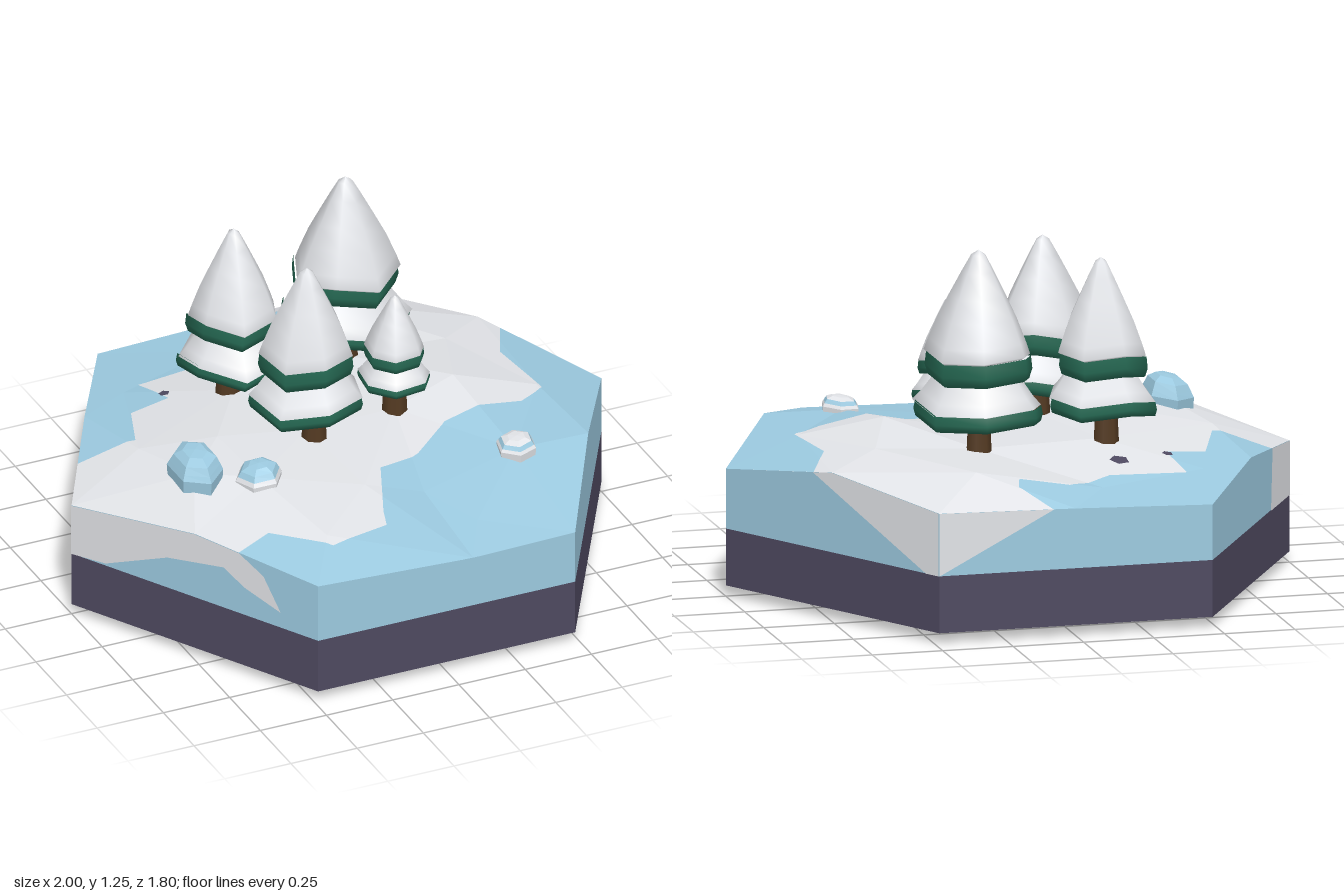
import * as THREE from 'three';
import { mergeGeometries } from 'three/addons/utils/BufferGeometryUtils.js';

const flat = (name, hex) => {
  const m = new THREE.MeshStandardMaterial({ color: hex });
  m.name = name;
  return m;
};

export function createModel() {
  const root = new THREE.Group();
  root.name = 'snowyIsland';
  const snow = flat('snow', 0xe4e6ea);
  const ice = flat('ice', 0x9ccae0);
  const rock = flat('darkRock', 0x4e4960);
  const green = flat('pineGreen', 0x266a54);
  const bark = flat('bark', 0x543a22);
  const add = (name, geo, mat, parent = root) => {
    const mesh = new THREE.Mesh(geo, mat);
    mesh.name = name;
    parent.add(mesh);
    return mesh;
  };

  // Hexagonal outline and terrain corners (x, z, height)
  const hex = [[1, 0], [.485, .9], [-.485, .9], [-1, 0], [-.485, -.9], [.485, -.9]];
  const samples = [
    [1, 0, .45], [.7425, .45, .53], [.485, .9, .435], [.1, .9, .427], [-.485, .9, .455],
    [-.7425, .45, .49], [-1, 0, .43], [-.7425, -.45, .485], [-.485, -.9, .435], [0, -.9, .45], [.485, -.9, .46],
    [.7425, -.45, .52], [-.62, .18, .56], [-.45, 0, .57], [-.43, .3, .56], [-.14, .06, .555], [.2, .04, .545],
    [.2, -.35, .55], [-.25, -.3, .55], [.44, 0, .6], [.3, -.7, .55], [.55, -.3, .56], [-.35, .68, .51],
    [-.1, .45, .53], [.1, .5, .48], [.47, .44, .53], [.2, .72, .46], [.72, .08, .535], [-.55, -.55, .48],
    [-.15, -.7, .47], [-.7, -.1, .53]];

  // Terrain facets: keep each triangle whose circumcircle holds no other corner
  const facets = [];
  const cross = (a, b, p) => (b[0] - a[0]) * (p[1] - a[1]) - (b[1] - a[1]) * (p[0] - a[0]);
  samples.forEach((a, i) => samples.slice(i + 1).forEach((b, j) => samples.slice(i + j + 2).forEach(c => {
    const d = cross(a, b, c);
    if (Math.abs(d) < .0025) return;
    const bx = b[0] - a[0], bz = b[1] - a[1], cx = c[0] - a[0], cz = c[1] - a[1];
    const b2 = bx * bx + bz * bz, c2 = cx * cx + cz * cz;
    const ux = (cz * b2 - bz * c2) / (2 * d), uz = (bx * c2 - cx * b2) / (2 * d);
    const r = Math.hypot(ux, uz) - 1e-6;
    if (samples.every(s => Math.hypot(s[0] - a[0] - ux, s[1] - a[1] - uz) > r))
      facets.push(d > 0 ? [a, b, c] : [a, c, b]);
  })));
  const heightOn = ([a, b, c], x, z) => {
    const d = cross(a, b, c), v = cross(c, a, [x, z]) / d, w = cross(a, b, [x, z]) / d;
    return a[2] + v * (b[2] - a[2]) + w * (c[2] - a[2]);
  };
  const depth = ([a, b, c], p) => Math.min(cross(a, b, p), cross(b, c, p), cross(c, a, p)) / cross(a, b, c);
  const height = (x, z) =>
    heightOn(facets.reduce((best, f) => depth(f, [x, z]) > depth(best, [x, z]) ? f : best), x, z);

  // Faceted sheet: fill an outline, split long edges, place each corner by a rule
  const sheet = (outline, place, facing, maxEdge) => {
    const out = [];
    const len = (a, b) => Math.hypot(a[0] - b[0], a[1] - b[1]);
    const emit = (a, b, c) => {
      const e = [len(a, b), len(b, c), len(c, a)];
      const longest = Math.max(...e);
      if (longest > maxEdge) {
        if (e[0] !== longest) return e[1] === longest ? emit(b, c, a) : emit(c, a, b);
        const m = [(a[0] + b[0]) / 2, (a[1] + b[1]) / 2];
        emit(a, m, c);
        emit(m, b, c);
        return;
      }
      const [p, q, r] = [a, b, c].map(v => new THREE.Vector3(...place(v[0], v[1])));
      const n = q.clone().sub(p).cross(r.clone().sub(p));
      const order = n.dot(facing) < 0 ? [p, r, q] : [p, q, r];
      order.forEach(v => out.push(v.x, v.y, v.z));
    };
    THREE.ShapeUtils.triangulateShape(outline.map(p => new THREE.Vector2(p[0], p[1])), [])
      .forEach(f => emit(...f.map(i => outline[i])));
    const geo = new THREE.BufferGeometry();
    geo.setAttribute('position', new THREE.Float32BufferAttribute(out, 3));
    geo.computeVertexNormals();
    return geo;
  };
  const UP = new THREE.Vector3(0, 1, 0), DOWN = new THREE.Vector3(0, -1, 0);

  // Cut an outline by each terrain facet so every crease stays crisp
  const clip = (poly, a, b) => poly.flatMap((p, i) => {
    const q = poly[(i + 1) % poly.length];
    const dp = cross(a, b, p), dq = cross(a, b, q), t = dp / (dp - dq);
    const kept = dp >= 0 ? [p] : [];
    if ((dp > 0 && dq < 0) || (dp < 0 && dq > 0)) kept.push([p[0] + t * (q[0] - p[0]), p[1] + t * (q[1] - p[1])]);
    return kept;
  });
  const terrain = outline => mergeGeometries(facets.map(f => {
    const piece = f.reduce((poly, a, i) => clip(poly, a, f[(i + 1) % 3]), outline);
    return piece.length > 2 ? sheet(piece, (x, z) => [x, heightOn(f, x, z), z], UP, 9) : null;
  }).filter(Boolean));

  // Top: one snow field between two ice slopes sharing its boundary
  const field = [
    [-1, 0], [-.88, -.21], [-.68, -.17], [-.6, -.38], [-.45, -.4], [-.48, -.58], [-.2, -.6], [-.03, -.71],
    [.15, -.71], [.17, -.78], [.08, -.9], [.485, -.9], [.788, -.37], [.7, -.18], [.73, .1], [.62, .17],
    [.32, .19], [.17, .3], [0, .36], [-.1, .6], [-.12, .67], [-.35, .73], [-.52, .57], [-.651, .61]];
  add('snowField', terrain(field), snow);
  add('backIceSlope', terrain([hex[4], ...field.slice(1, 11).reverse()]), ice);
  add('frontIceSlope', terrain([hex[0], hex[1], hex[2], ...field.slice(12).reverse()]), ice);

  // Side walls: dark rock below, ice above, snow drifts laid on as thin plates
  const drifts = {
    2: [[1, .24], [1, 1], [.5, 1], [.32, 1], [.22, .42], [.15, .3], [.3, .35], [.38, .4], [.61, .36], [.86, .25]],
    3: [[0, .24], [0, 1], [.23, 1], [.25, .24]],
    4: [[.58, 1], [1, 1], [1, .24]],
    5: [[0, .24], [0, 1], [.5, 1], [.59, 1], [.06, .24]],
  };
  hex.forEach((a, i) => {
    const b = hex[(i + 1) % 6];
    const normal = new THREE.Vector3(a[0] + b[0], 0, a[1] + b[1]).normalize();
    const wall = lift => (t, y) => {
      const x = a[0] + (b[0] - a[0]) * t, z = a[1] + (b[1] - a[1]) * t;
      return [x + normal.x * lift, Math.min(y, height(x, z)), z + normal.z * lift];
    };
    const rim = Array.from({ length: 17 }, (_, k) => [1 - k / 16, 1]);
    add('rockWall', sheet([[0, .04], [1, .04], [1, .24], [0, .24]], wall(0), normal, 9), rock);
    add('iceWall', sheet([[0, .24], [1, .24], ...rim], wall(0), normal, 9), ice);
    if (drifts[i]) add('snowDrift', sheet(drifts[i], wall(.003), normal, 9), snow);
  });

  // Underside: flat rock rim, shallow ice bulge, snow patch
  const bulge = drop => (x, z) =>
    [x, .037 - drop - .032 * Math.max(0, 1 - ((x + .07) ** 2 + (z + .1) ** 2) / .47), z];
  add('rockBase', sheet(hex, (x, z) => [x, .04, z], DOWN, 9), rock);
  add('iceUnderside', sheet(hex.map(p => [p[0] * .99, p[1] * .99]), bulge(0), DOWN, .1), ice);
  const patch = [[.8, .04], [.74, -.35], [.37, -.65], [.01, -.54], [-.37, -.16], [-.43, .1],
    [-.35, .3], [-.06, .33], [.35, .2], [.41, -.14], [.55, 0]];
  add('undersideSnow', sheet(patch, bulge(.003), DOWN, .1), snow);
  const ring = (cx, cz, r, n) => Array.from({ length: n }, (_, k) =>
    [cx + r * Math.cos(k * 2 * Math.PI / n), cz + r * Math.sin(k * 2 * Math.PI / n)]);
  for (const [x, z] of [[.22, -.35], [-.17, .13]])
    add('undersideSpot', sheet(ring(x, z, .035, 8), bulge(.005), DOWN, .15), ice);

  // Exposed rock chips in the snow
  for (const [x, z, r] of [[-.265, -.49, .035], [-.45, -.435, .02]])
    add('rockChip', sheet(ring(x, z, r, 5), (u, v) => [u, height(u, v) + .006, v], UP, 1), rock);

  // Pine trees: bands revolved around the trunk, then unevenly drooped
  const bands = [
    ['lowerNeedles', green, [[0, .03], [.13, .01], [.213, .005], [.22, .03], [.214, .06]]],
    ['lowerSnow', snow, [[.205, .05], [.219, .057], [.19, .09], [.152, .145], [.12, .19]]],
    ['upperNeedles', green, [[.1, .175], [.145, .15], [.172, .155], [.183, .19], [.178, .235]]],
    ['upperSnow', snow, [[.17, .228], [.181, .236], [.166, .28], [.133, .365], [.097, .44], [.055, .525], [.024, .585], [0, .602]]],
  ];
  // x, z, scale, turn, backward shift of the needles, trunk offset
  const trees = [[.2, -.36, 1, .3, .022, 0, 0], [-.25, -.3, .89, 1.6, .018, -.015, -.01],
    [-.14, .06, .9, 2.7, 0, .005, .05], [.2, .043, .57, 4.1, 0, 0, 0]];
  for (const [x, z, s, turn, shift, tx, tz] of trees) {
    const tree = new THREE.Group();
    tree.name = 'pineTree';
    tree.position.set(x, .65, z);
    root.add(tree);
    add('trunk', new THREE.CylinderGeometry(.038, .046, .16, 7), bark, tree).position.set(tx, -.05, tz);
    for (const [name, mat, profile] of bands) {
      const geo = new THREE.LatheGeometry(profile.map(p => new THREE.Vector2(p[0] * s, p[1] * s)), 7);
      const pos = geo.attributes.position;
      for (let i = 0; i < pos.count; i++) {
        const px = pos.getX(i), pz = pos.getZ(i);
        const angle = Math.atan2(pz, px), k = 1 + .05 * Math.sin(angle * 2 + turn);
        pos.setXYZ(i, px * k, pos.getY(i) + Math.hypot(px, pz) * .09 * Math.sin(angle * 3 + turn), pz * k);
      }
      const band = add(name, geo, mat, tree);
      band.rotation.y = turn;
      if (mat === green) band.position.z = -shift;
    }
  }

  // Boulders: tapered six-sided stones of skirt, shoulder and cap
  const boulders = [
    [-.615, .175, .087, .135, .65, [ice, ice, ice]],
    [-.43, .295, .083, .085, .615, [snow, ice, ice]],
    [.475, .44, .07, .078, .58, [snow, ice, snow]]];
  const layers = [
    ['boulderSkirt', [[.95, 0], [1, .55], [.9, .68]]],
    ['boulderShoulder', [[.9, .68], [.76, .85]]],
    ['boulderCap', [[.76, .85], [.45, .97], [0, 1]]]];
  boulders.forEach(([x, z, rx, rz, top, mats], i) => {
    const stone = new THREE.Group();
    stone.name = 'boulder';
    stone.position.set(x, .5, z);
    stone.scale.set(rx, top - .5, rz);
    root.add(stone);
    layers.forEach(([name, profile], k) => {
      const geo = new THREE.LatheGeometry(profile.map(p => new THREE.Vector2(...p)), 6, i * .4).toNonIndexed();
      const pos = geo.attributes.position;
      for (let n = 0; n < pos.count; n++) pos.setY(n, pos.getY(n) * (1 + .1 * pos.getX(n)));
      geo.computeVertexNormals();
      add(name, geo, mats[k], stone);
    });
  });

  return root;
}
